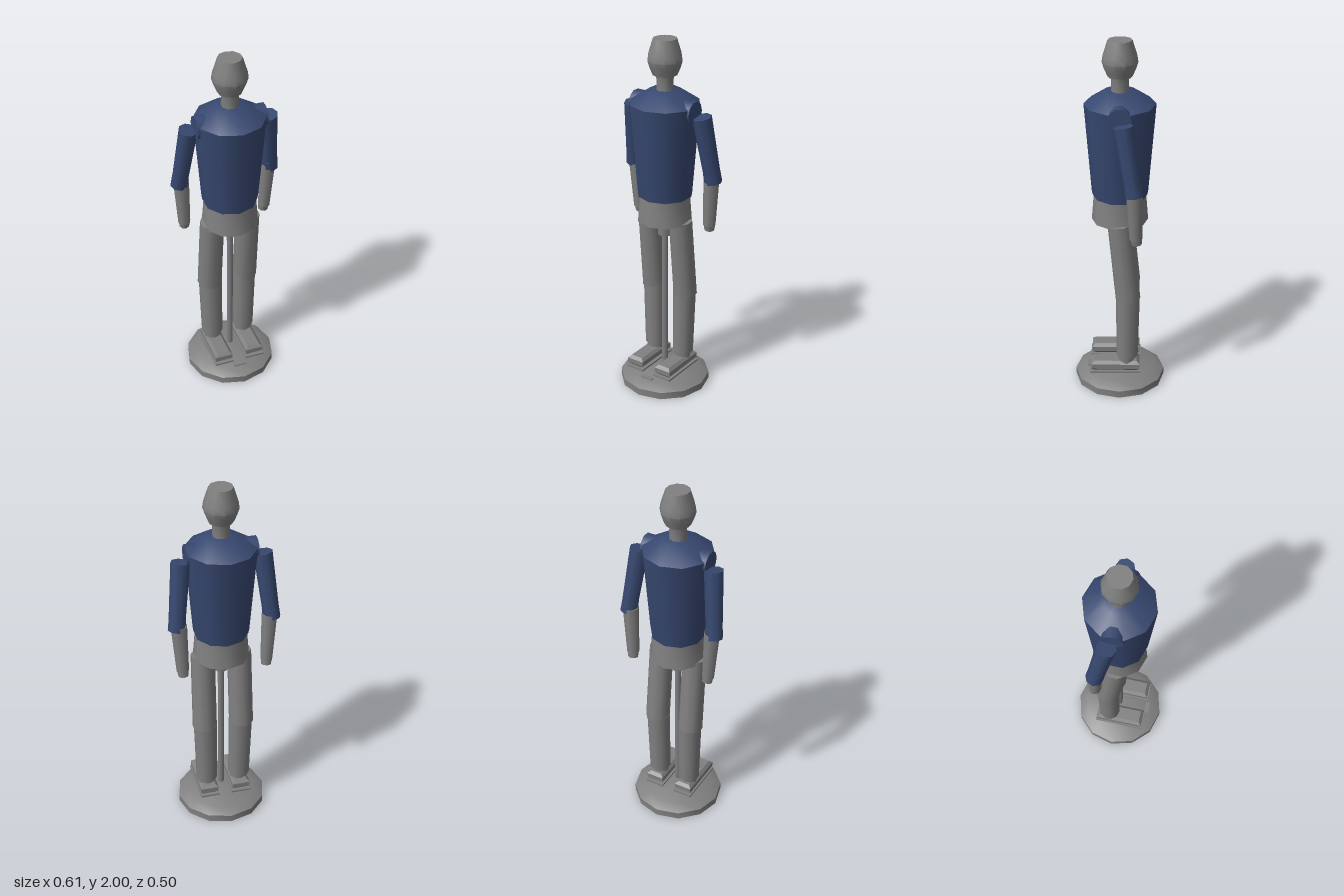
import * as THREE from 'three';
import { toCreasedNormals } from 'three/addons/utils/BufferGeometryUtils.js';

export function createModel() {
  const group = new THREE.Group();
  const grey = new THREE.MeshStandardMaterial({ color: 0x808080 });
  grey.name = 'grey';
  const blue = new THREE.MeshStandardMaterial({ color: 0x374870 });
  blue.name = 'navy blue';

  const add = (name, geometry, material) => {
    const mesh = new THREE.Mesh(geometry, material);
    mesh.name = name;
    group.add(mesh);
    return mesh;
  };

  // Closed turned part from [radius, y] pairs, bottom to top
  const turned = (name, profile, sides, material) => {
    const points = profile.map(([r, y]) => new THREE.Vector2(r, y));
    points.unshift(new THREE.Vector2(0, profile[0][1]));
    points.push(new THREE.Vector2(0, profile[profile.length - 1][1]));
    return add(name, toCreasedNormals(new THREE.LatheGeometry(points, sides), 0.7), material);
  };

  // Tapered tube running from an upper point to a lower one
  const limb = (name, top, bottom, rTop, rBottom, sides, material) => {
    const a = new THREE.Vector3(...top), b = new THREE.Vector3(...bottom);
    const axis = a.clone().sub(b);
    const mesh = add(name, new THREE.CylinderGeometry(rTop, rBottom, axis.length(), sides), material);
    mesh.position.copy(a).add(b).multiplyScalar(0.5);
    mesh.quaternion.setFromUnitVectors(new THREE.Vector3(0, 1, 0), axis.normalize());
    return mesh;
  };

  // Display stand
  turned('base', [[0.252, 0], [0.252, 0.04], [0.2, 0.07]], 12, grey);
  add('baseTab', new THREE.BoxGeometry(0.07, 0.008, 0.025), grey).position.set(0, 0.072, 0.172);
  limb('supportPole', [0, 0.92, 0], [0, 0.1, 0], 0.018, 0.018, 8, grey);
  limb('poleSocket', [0, 1.02, 0], [0, 0.905, 0], 0.042, 0.038, 8, grey);

  // Trunk and head
  turned('pelvis', [[0.153, 1], [0.14, 1.16]], 10, grey);
  turned('torso', [[0.148, 1.145], [0.152, 1.17], [0.19, 1.66], [0.085, 1.73]], 10, blue);
  turned('neck', [[0.047, 1.7], [0.045, 1.78], [0.053, 1.82]], 10, grey);
  turned('head', [[0.066, 1.81], [0.083, 1.85], [0.094, 1.885], [0.089, 1.92], [0.064, 2]], 10, grey);

  // Shoe: rectangle extruded upward with a single chamfer
  const shoe = new THREE.Shape();
  const w = 0.035, l = 0.12;
  shoe.moveTo(-w, -l).lineTo(w, -l).lineTo(w, l).lineTo(-w, l).closePath();
  const shoeGeometry = new THREE.ExtrudeGeometry(shoe, {
    depth: 0.028, bevelSize: 0.016, bevelThickness: 0.016, bevelSegments: 1,
  }).rotateX(-Math.PI / 2);

  for (const [side, s] of [['left', 1], ['right', -1]]) {
    const n = (part) => side + part;

    // Arms
    const shoulder = add(n('Shoulder'), new THREE.CylinderGeometry(0.062, 0.062, 0.09, 10), blue);
    shoulder.rotation.z = Math.PI / 2;
    shoulder.position.set(s * 0.145, 1.635, 0);
    limb(n('UpperArm'), [s * 0.218, 1.615, -0.02], [s * 0.258, 1.25, -0.077], 0.052, 0.045, 8, blue);
    limb(n('Cuff'), [s * 0.251, 1.305, -0.069], [s * 0.258, 1.245, -0.078], 0.047, 0.048, 8, blue);
    limb(n('Forearm'), [s * 0.246, 1.27, -0.077], [s * 0.232, 0.99, -0.086], 0.044, 0.034, 8, grey);
    limb(n('Hand'), [s * 0.232, 1, -0.086], [s * 0.23, 0.96, -0.092], 0.032, 0.028, 8, grey);

    // Legs
    limb(n('Thigh'), [s * 0.102, 1.015, 0], [s * 0.105, 0.56, -0.046], 0.066, 0.068, 10, grey);
    limb(n('Shin'), [s * 0.101, 0.575, -0.045], [s * 0.095, 0.19, -0.042], 0.066, 0.06, 10, grey);
    limb(n('Ankle'), [s * 0.094, 0.2, -0.038], [s * 0.094, 0.15, -0.038], 0.048, 0.048, 8, grey);

    // Feet
    add(n('Shoe'), shoeGeometry, grey).position.set(s * 0.093, 0.121, 0.024);
    add(n('Sole'), new THREE.BoxGeometry(0.11, 0.01, 0.285), grey).position.set(s * 0.092, 0.1, 0.024);
  }
  return group;
}
